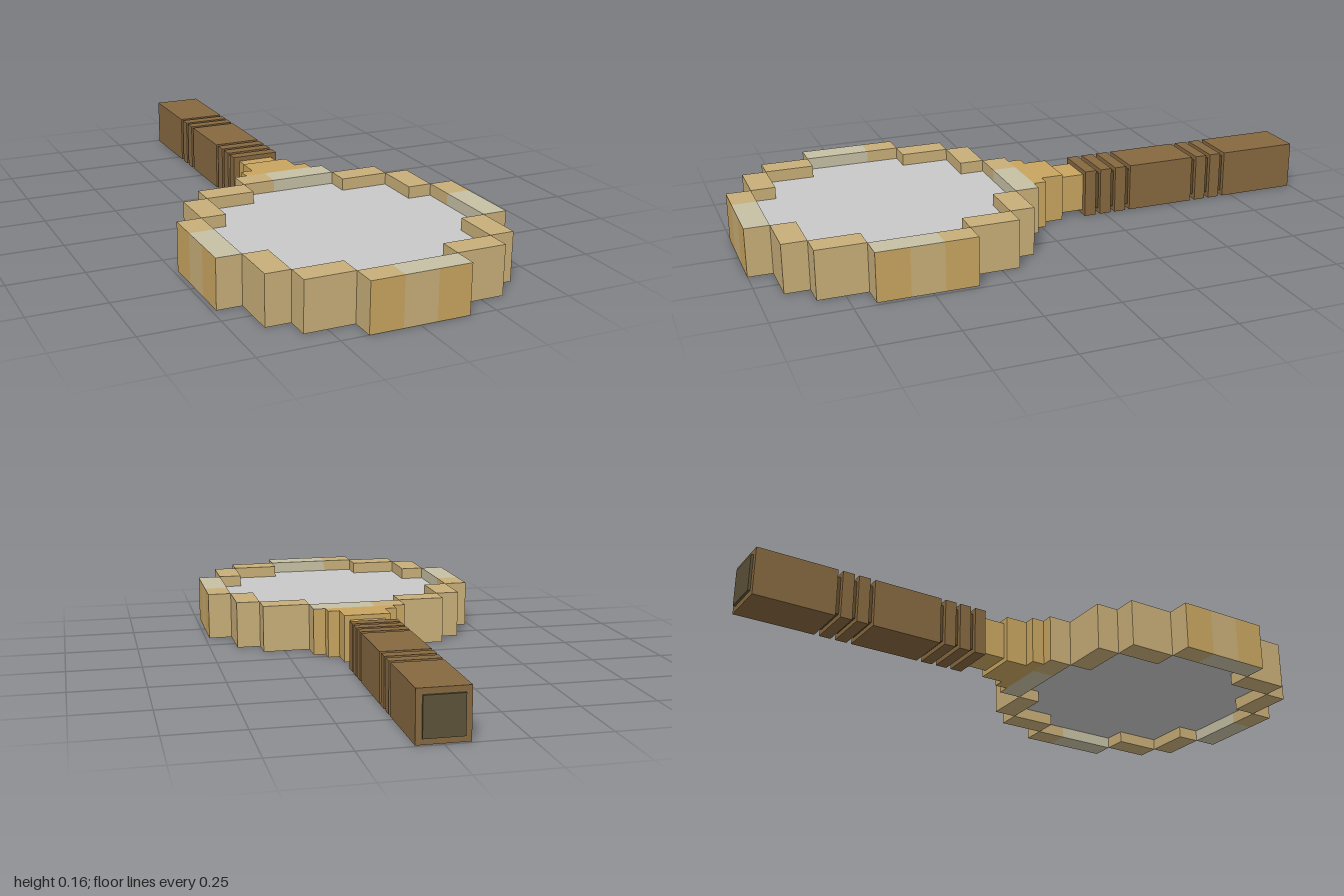
import * as THREE from 'three';

const mat = (name, color) => {
  const m = new THREE.MeshStandardMaterial({ color });
  m.name = name;
  return m;
};

export function createModel() {
  const tan = mat('tan', 0xc8ae79);
  const gold = mat('gold', 0xc8a560);
  const sheen = mat('pale sheen', 0xc6c0a4);
  const brown = mat('wood brown', 0x866840);
  const darkBrown = mat('dark groove brown', 0x5f4a2c);
  const capColor = mat('end cap olive', 0x5c5238);
  const glass = mat('glass grey', 0xc8c8c8);

  const model = new THREE.Group();
  model.name = 'magnifyingGlass';
  const H = 0.162;

  // Box given by its limits on each axis
  const block = (parent, name, material, [x0, x1], [y0, y1], [z0, z1]) => {
    const mesh = new THREE.Mesh(new THREE.BoxGeometry(x1 - x0, y1 - y0, z1 - z0), material);
    mesh.position.set((x0 + x1) / 2, (y0 + y1) / 2, (z0 + z1) / 2);
    mesh.name = name;
    parent.add(mesh);
  };

  // Stepped rim, measured from the lens centre in steps of u
  const rim = new THREE.Group();
  rim.name = 'rim';
  rim.position.z = 0.515;
  model.add(rim);
  const u = 0.081;
  const full = [0, H];
  const span = (a, b, s) => (s > 0 ? [a * u, b * u] : [-b * u, -a * u]);

  // Corner steps, mirrored to all four quarters
  for (const sx of [1, -1]) {
    for (const sz of [1, -1]) {
      block(rim, 'rimStep', tan, span(4, 5, sx), full, span(2, 4, sz));
      block(rim, 'rimStep', tan, span(2, 4, sx), full, span(4, 5, sz));
    }
  }

  // Four long rim blocks, each in thirds with gold and pale patches
  for (const s of [1, -1]) {
    for (let i = 0; i < 3; i++) {
      const along = [(-2 + i * 4 / 3) * u, (-2 + (i + 1) * 4 / 3) * u];
      const outer = i === 1 ? tan : gold;
      const top = i === 0 ? tan : sheen;
      const faces = s > 0 ? [outer, top] : [top, outer];
      block(rim, 'rimSide', [...faces, top, top, tan, tan], span(5, 6, s), full, along);
      block(rim, 'rimEnd', [tan, tan, top, top, ...faces], along, full, span(5, 6, s));
    }
  }

  // Lens: stacked strips that fill the rim opening without overlapping
  const lensY = [0.04, 0.122];
  block(rim, 'lens', glass, [-4 * u, 4 * u], lensY, [-4 * u, 4 * u]);
  for (const s of [1, -1]) {
    block(rim, 'lensSide', glass, span(4, 5, s), lensY, [-2 * u, 2 * u]);
    block(rim, 'lensEnd', glass, [-2 * u, 2 * u], lensY, span(4, 5, s));
  }

  // Neck steps between rim and handle
  block(model, 'neckBase', gold, [-0.12, 0.12], full, [-0.015, 0.03]);
  block(model, 'neckMiddle', gold, [-0.08, 0.08], full, [-0.092, -0.015]);
  block(model, 'neckTip', gold, [-0.06, 0.06], [0.016, 0.146], [-0.177, -0.092]);

  // Grooved handle: wooden sections around a dark core
  const handle = new THREE.Group();
  handle.name = 'handle';
  model.add(handle);
  block(handle, 'handleCore', darkBrown, [-0.065, 0.065], [0.016, 0.146], [-0.98, -0.177]);
  const sections = [
    [-0.217, -0.177], [-0.274, -0.234], [-0.33, -0.29], [-0.588, -0.347],
    [-0.645, -0.605], [-0.701, -0.661], [-0.992, -0.718],
  ];
  for (const z of sections) block(handle, 'handleSection', brown, [-0.081, 0.081], full, z);
  block(handle, 'endCap', capColor, [-0.062, 0.062], [0.019, 0.143], [-1, -0.992]);

  return model;
}
